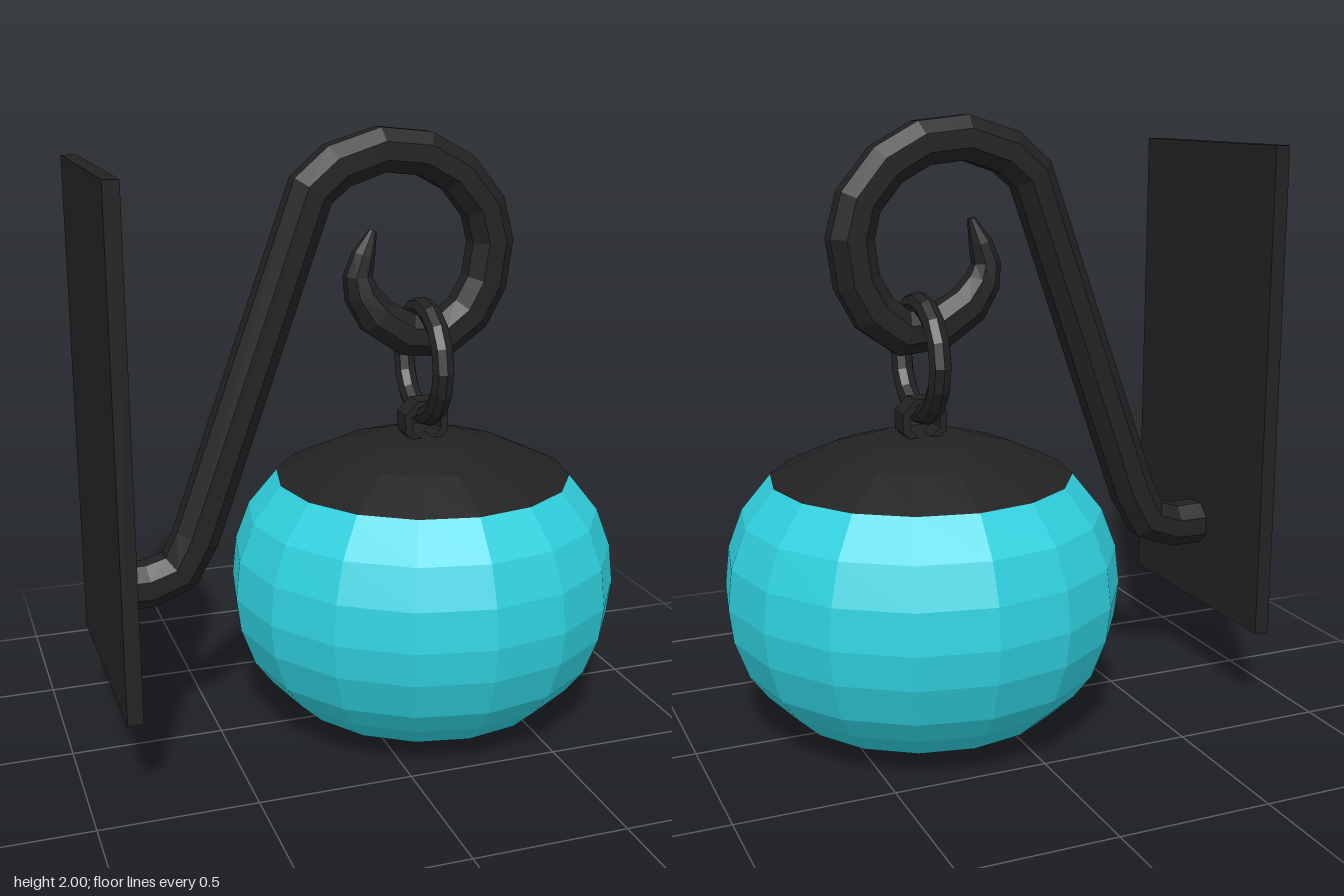
import * as THREE from 'three';

const iron = new THREE.MeshStandardMaterial({ color: 0x222222, flatShading: true });
const glass = new THREE.MeshStandardMaterial({ color: 0x2fd0de, flatShading: true });
const LAMP_X = 0.22;

function addMesh(parent, name, geometry, material, x = 0, y = 0, z = 0) {
  const mesh = new THREE.Mesh(geometry, material);
  mesh.name = name;
  mesh.position.set(x, y, z);
  parent.add(mesh);
  return mesh;
}

// Octagonal bar swept along a path in the XY plane; each point is [x, y, radius]
function sweepBar(path, sides = 8) {
  const positions = [], index = [];
  const last = path.length - 1;
  path.forEach(([x, y, r], i) => {
    const a = path[Math.max(i - 1, 0)], b = path[Math.min(i + 1, last)];
    const before = new THREE.Vector2(x - a[0], y - a[1]).normalize();
    const after = new THREE.Vector2(b[0] - x, b[1] - y).normalize();
    const t = before.add(after).normalize();
    for (let k = 0; k < sides; k++) {
      const angle = ((k + 0.5) / sides) * Math.PI * 2;
      const c = (Math.cos(angle) * r) / Math.cos(Math.PI / sides);
      const s = (Math.sin(angle) * r) / Math.cos(Math.PI / sides);
      positions.push(x - t.y * c, y + t.x * c, s);
    }
  });
  for (let i = 0; i < last; i++) {
    for (let k = 0; k < sides; k++) {
      const a = i * sides + k, b = i * sides + ((k + 1) % sides);
      index.push(a, b, a + sides, b, b + sides, a + sides);
    }
  }
  // End caps
  const end = last * sides;
  for (let k = 1; k < sides - 1; k++) {
    index.push(0, k + 1, k, end, end + k, end + k + 1);
  }
  const geometry = new THREE.BufferGeometry();
  geometry.setAttribute('position', new THREE.Float32BufferAttribute(positions, 3));
  geometry.setIndex(index);
  geometry.computeVertexNormals();
  return geometry;
}

function lathe(profile) {
  return new THREE.LatheGeometry(profile.map(([r, y]) => new THREE.Vector2(r, y)), 16);
}

function octagon(target, radius) {
  const points = [];
  for (let k = 0; k < 8; k++) {
    const a = ((k + 0.5) / 8) * Math.PI * 2;
    points.push(new THREE.Vector2(Math.cos(a) * radius, Math.sin(a) * radius));
  }
  return target.setFromPoints(points);
}

export function createModel() {
  const model = new THREE.Group();
  model.name = 'wallLantern';

  // Wall plate
  addMesh(model, 'wallPlate', new THREE.BoxGeometry(0.05, 1.63, 0.815), iron, -0.855, 1.09, 0);

  // Bracket: short stub, long slanted arm, scrolled hook tapering to a tip
  const bracket = [
    [-0.835, 0.565, 0.073], [-0.726, 0.565, 0.073], [-0.626, 0.6, 0.073], [-0.567, 0.707, 0.073],
    [-0.166, 1.81, 0.073], [-0.08, 1.883, 0.073], [0.066, 1.93, 0.071], [0.21, 1.915, 0.071],
    [0.33, 1.85, 0.071], [0.42, 1.74, 0.071], [0.45, 1.625, 0.072], [0.43, 1.49, 0.072],
    [0.375, 1.39, 0.073], [0.28, 1.32, 0.073], [0.156, 1.332, 0.07], [0.053, 1.398, 0.065],
    [0.003, 1.47, 0.055], [-0.01, 1.53, 0.045], [0.01, 1.597, 0.036], [0.042, 1.675, 0.012],
  ];
  addMesh(model, 'bracket', sweepBar(bracket), iron);

  // Large hanging ring, looped over the hook
  const ring = addMesh(model, 'hangingRing', new THREE.TorusGeometry(0.18, 0.037, 8, 16), iron, LAMP_X, 1.232, 0);
  ring.rotation.y = Math.PI / 2;

  // Small flat loop on top of the cap
  const loop = octagon(new THREE.Shape(), 0.082);
  loop.holes.push(octagon(new THREE.Path(), 0.055));
  const loopGeometry = new THREE.ExtrudeGeometry(loop, { depth: 0.08, bevelEnabled: false });
  addMesh(model, 'capLoop', loopGeometry, iron, LAMP_X, 1.03, -0.04);

  // Lantern: bottom cap, faceted globe, top cap
  const lantern = new THREE.Group();
  lantern.name = 'lantern';
  lantern.position.x = LAMP_X;
  model.add(lantern);
  addMesh(lantern, 'bottomCap', lathe([[0, 0], [0.2, 0.003], [0.35, 0.034]]), iron);
  addMesh(lantern, 'globe', lathe([
    [0.35, 0.034], [0.45, 0.07], [0.535, 0.15], [0.595, 0.23], [0.642, 0.357],
    [0.656, 0.47], [0.642, 0.6], [0.594, 0.728], [0.497, 0.848],
  ]), glass);
  addMesh(lantern, 'topCap', lathe([[0.497, 0.848], [0.32, 0.93], [0.16, 0.977], [0, 0.98]]), iron);

  return model;
}
